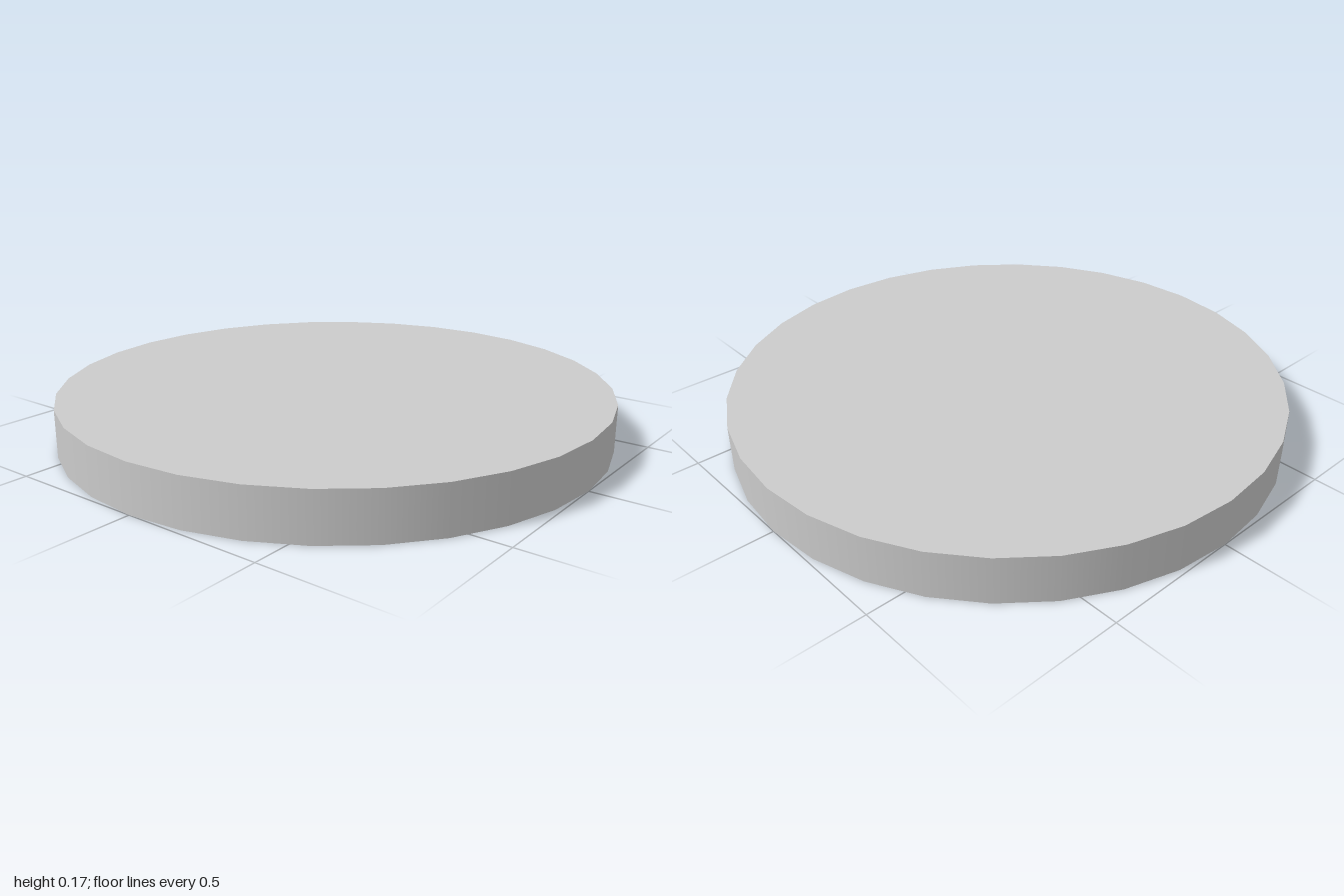
import * as THREE from 'three';

const RADIUS = 1, HEIGHT = 0.17, SIDES = 32;
const RECESS_RADIUS = 0.42, RECESS_DEPTH = 0.085, RECESS_SIDES = 16;

// Points of a regular polygon with corners on the axes
function ring(radius, sides) {
  return Array.from({ length: sides }, (_, i) => {
    const a = (i / sides) * Math.PI * 2;
    return new THREE.Vector2(Math.cos(a) * radius, Math.sin(a) * radius);
  });
}

// Smooth upright wall; it faces outward when y0 < y1, inward when y0 > y1
function wall(radius, y0, y1, sides) {
  return new THREE.LatheGeometry([new THREE.Vector2(radius, y0), new THREE.Vector2(radius, y1)], sides);
}

export function createModel() {
  const group = new THREE.Group();
  group.name = 'recessedDisc';
  const material = new THREE.MeshStandardMaterial({ color: 0xcccccc });

  const add = (name, geometry) => {
    const mesh = new THREE.Mesh(geometry, material);
    mesh.name = name;
    group.add(mesh);
  };

  // Disc rim and flat top
  add('rim', wall(RADIUS, 0, HEIGHT, SIDES));
  add('topFace', new THREE.CircleGeometry(RADIUS, SIDES).rotateX(-Math.PI / 2).translate(0, HEIGHT, 0));

  // Underside with a round opening
  const underside = new THREE.Shape(ring(RADIUS, SIDES));
  underside.holes.push(new THREE.Path(ring(RECESS_RADIUS, RECESS_SIDES)));
  add('underside', new THREE.ShapeGeometry(underside).rotateX(Math.PI / 2));

  // Shallow recess in the underside
  add('recessWall', wall(RECESS_RADIUS, RECESS_DEPTH, 0, RECESS_SIDES));
  add('recessFloor', new THREE.CircleGeometry(RECESS_RADIUS, RECESS_SIDES)
    .rotateX(Math.PI / 2).translate(0, RECESS_DEPTH, 0));

  return group;
}
